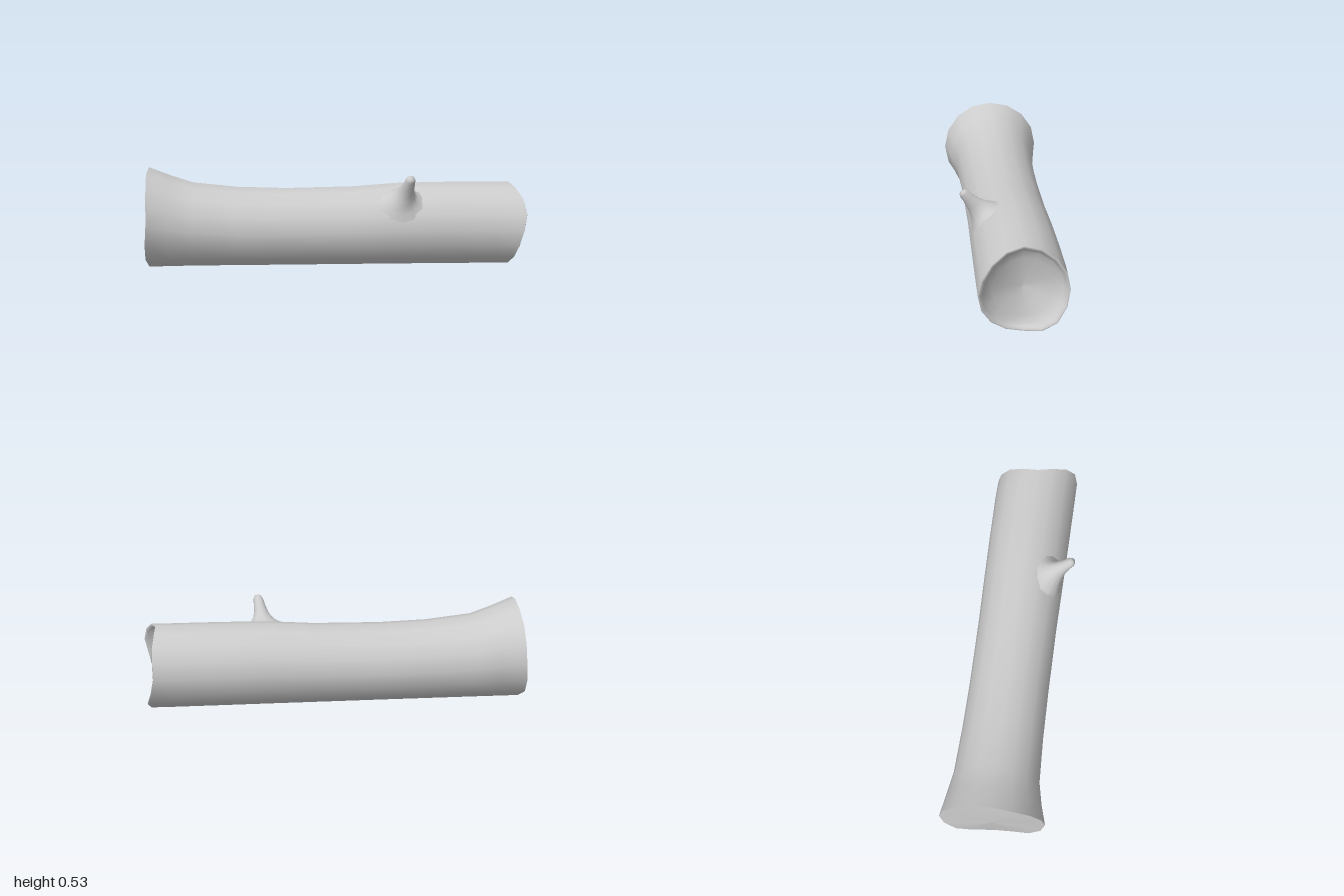
import * as THREE from 'three';

const SIDES = 16;
const material = new THREE.MeshStandardMaterial({ color: 0xcccccc });

// Skins a list of closed rings (arrays of Vector3) with smooth normals.
function loft(name, rings) {
  const n = rings[0].length, pos = [], index = [];
  rings.forEach(r => r.forEach(p => pos.push(p.x, p.y, p.z)));
  for (let i = 0; i < rings.length - 1; i++) {
    for (let k = 0; k < n; k++) {
      const a = i * n + k, b = i * n + (k + 1) % n, c = a + n, d = b + n;
      index.push(a, c, b, b, c, d);
    }
  }
  const g = new THREE.BufferGeometry();
  g.setAttribute('position', new THREE.Float32BufferAttribute(pos, 3));
  g.setIndex(index);
  g.computeVertexNormals();
  const mesh = new THREE.Mesh(g, material);
  mesh.name = name;
  return mesh;
}

// Ring around the trunk: top height, front and back z, and x per corner.
function trunkRing(top, front, back, xs) {
  const low = 0.003, cy = (top + low) / 2, ry = (top - low) / 2;
  const cz = (front + back) / 2, rz = (front - back) / 2;
  return Array.from({ length: SIDES }, (_, k) => {
    const a = k / SIDES * Math.PI * 2;
    return new THREE.Vector3(Array.isArray(xs) ? xs[k] : xs, cy + ry * Math.sin(a), cz + rz * Math.cos(a));
  });
}

// Ring moved towards a centre point: scale in y and z, blend and shift in x.
function shrink(ring, centre, scale, blend, shift = 0) {
  return ring.map(p => new THREE.Vector3(
    THREE.MathUtils.lerp(p.x, centre.x, blend) + shift,
    THREE.MathUtils.lerp(centre.y, p.y, scale),
    THREE.MathUtils.lerp(centre.z, p.z, scale)));
}

export function createModel() {
  const log = new THREE.Group();
  log.name = 'log';

  // Uneven cut edges; corners run from the front over the top to the back and under
  const rootX = [-0.965, -0.965, -0.968, -0.972, -0.967, -0.968, -0.975, -0.98,
    -0.985, -0.995, -1, -0.985, -0.968, -0.968, -0.978, -0.975];
  const tipX = [0.985, 1, 0.985, 0.955, 0.93, 0.935, 0.945, 0.945,
    0.943, 0.96, 0.98, 0.965, 0.92, 0.925, 0.945, 0.965];
  const rootRim = trunkRing(0.533, 0.268, -0.27, rootX);
  const tipRim = trunkRing(0.443, 0.213, -0.225, tipX);

  // Bark, flared towards the root end
  const stations = [
    [-0.86, 0.49, 0.238, -0.25], [-0.74, 0.45, 0.213, -0.232], [-0.5, 0.424, 0.203, -0.223],
    [-0.25, 0.416, 0.2, -0.219], [0.1, 0.422, 0.2, -0.22], [0.35, 0.44, 0.205, -0.224],
    [0.6, 0.443, 0.209, -0.227], [0.85, 0.443, 0.212, -0.228],
  ];
  log.add(loft('bark', [rootRim, ...stations.map(([x, t, f, b]) => trunkRing(t, f, b, x)), tipRim]));

  // Nearly flat cut at the root end
  const rootCentre = new THREE.Vector3(-0.985, 0.268, 0);
  log.add(loft('rootCut', [
    shrink(rootRim, rootCentre, 0, 1), shrink(rootRim, rootCentre, 0.55, 0.6), rootRim]));

  // Dished cut with a rounded lip at the narrow end
  const tipCentre = new THREE.Vector3(0.88, 0.222, -0.006);
  log.add(loft('hollowCut', [
    tipRim,
    shrink(tipRim, tipCentre, 0.965, 0, 0.002),
    shrink(tipRim, tipCentre, 0.92, 0.04, -0.006),
    shrink(tipRim, tipCentre, 0.86, 0.25, -0.012),
    shrink(tipRim, tipCentre, 0.68, 0.62),
    shrink(tipRim, tipCentre, 0.35, 0.9),
    shrink(tipRim, tipCentre, 0, 1)]));

  // Branch stub: [height, radius along, radius around, lean in x, bend over the trunk]
  const base = new THREE.Vector3(0.365, 0.379, 0.137);
  const out = new THREE.Vector3(0, 0.77, 0.638).normalize();
  const around = new THREE.Vector3(0, -out.z, out.y);
  const profile = [
    [-0.012, 0.13, 0.12, -0.01, 1], [0.004, 0.1, 0.09, -0.008, 1], [0.02, 0.07, 0.073, -0.004, 0.8],
    [0.045, 0.05, 0.056, 0.002, 0.4], [0.075, 0.038, 0.042, 0.008, 0], [0.12, 0.03, 0.03, 0.016, 0],
    [0.155, 0.025, 0.025, 0.021, 0], [0.169, 0.018, 0.018, 0.023, 0], [0.174, 0, 0, 0.023, 0],
  ];
  log.add(loft('branchStub', profile.map(([h, rx, rv, lean, bend]) =>
    Array.from({ length: 12 }, (_, k) => {
      const a = k / 12 * Math.PI * 2, v = rv * Math.sin(a);
      const p = base.clone().addScaledVector(out, h - bend * v * v / 0.42).addScaledVector(around, v);
      p.x += lean + rx * Math.cos(a);
      return p;
    }))));

  // Rest on the ground
  log.position.y = -0.003;
  return log;
}
